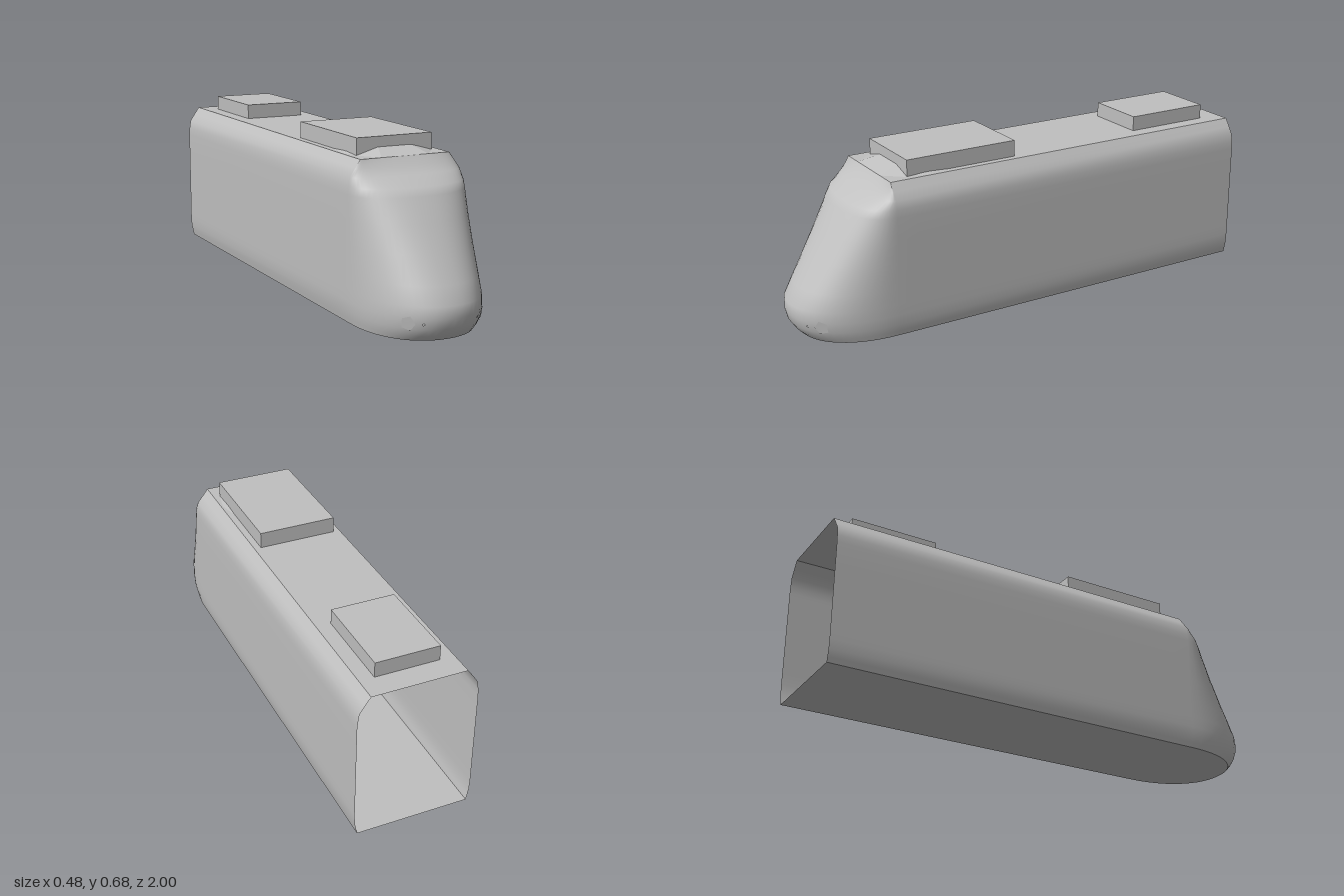
import * as THREE from 'three';
import { ConvexGeometry } from 'three/addons/geometries/ConvexGeometry.js';

const BACK = -1, SHOULDER = 0.635, ROOF = 0.617, POWER = 2.2;

// Each level: height, half width, z of the nose tip
const LEVELS = [
  [0, 0.228, 0.95], [0.02, 0.232, 0.97], [0.05, 0.238, 0.99], [0.09, 0.24, 1], [0.135, 0.24, 0.998],
  [0.2, 0.24, 0.961], [0.3, 0.24, 0.9], [0.4, 0.24, 0.839], [0.49, 0.24, 0.784], [0.52, 0.238, 0.762],
  [0.555, 0.233, 0.695], [0.585, 0.213, 0.66], [ROOF, 0.19, SHOULDER],
];

// Horizontal outline of one level, from the back right round the nose to the back left
function outline([, half, tip]) {
  const points = [[-half, BACK], [-half, 0.55]];
  const steps = 28;
  for (let i = 0; i <= steps; i++) {
    const a = Math.PI * (1 - i / steps);
    const c = Math.cos(a), s = Math.max(0, Math.sin(a));
    points.push([
      half * Math.sign(c) * Math.abs(c) ** (2 / POWER),
      SHOULDER + (tip - SHOULDER) * s ** (2 / POWER),
    ]);
  }
  points.push([half, 0.55], [half, BACK]);
  return points;
}

// Depth of the nose surface at a given x and y
function noseZ(x, y) {
  let i = 0;
  while (i < LEVELS.length - 2 && LEVELS[i + 1][0] < y) i++;
  const t = (y - LEVELS[i][0]) / (LEVELS[i + 1][0] - LEVELS[i][0]);
  const half = THREE.MathUtils.lerp(LEVELS[i][1], LEVELS[i + 1][1], t);
  const tip = THREE.MathUtils.lerp(LEVELS[i][2], LEVELS[i + 1][2], t);
  return SHOULDER + (tip - SHOULDER) * (1 - Math.abs(x / half) ** POWER) ** (1 / POWER);
}

// Smooth skin of the sides and nose, open at the back
function shellGeometry() {
  const positions = [], index = [];
  const rows = LEVELS.map(outline);
  const n = rows[0].length;
  rows.forEach((row, r) => row.forEach(([x, z]) => positions.push(x, LEVELS[r][0], z)));
  for (let r = 0; r < rows.length - 1; r++) {
    for (let c = 0; c < n - 1; c++) {
      const a = r * n + c, b = a + 1, d = a + n, e = d + 1;
      index.push(a, b, e, a, e, d);
    }
  }
  const geometry = new THREE.BufferGeometry();
  geometry.setAttribute('position', new THREE.Float32BufferAttribute(positions, 3));
  geometry.setIndex(index);
  geometry.computeVertexNormals();
  return geometry;
}

// Thin lamp plate that follows the nose surface
function lampGeometry(points, side) {
  const shape = new THREE.Shape(points.map(([x, y]) => new THREE.Vector2(x * side, y)));
  const geometry = new THREE.ShapeGeometry(shape);
  const p = geometry.attributes.position;
  for (let i = 0; i < p.count; i++) p.setZ(i, noseZ(p.getX(i), p.getY(i)) + 0.005);
  geometry.computeVertexNormals();
  return geometry;
}

export function createModel() {
  const model = new THREE.Group();
  const grey = new THREE.MeshStandardMaterial({ color: 0xc0c0c0, side: THREE.DoubleSide });
  grey.name = 'light grey';

  function add(name, geometry, x = 0, y = 0, z = 0) {
    const mesh = new THREE.Mesh(geometry, grey);
    mesh.name = name;
    mesh.position.set(x, y, z);
    model.add(mesh);
  }

  // Body
  add('bodyShell', shellGeometry());
  const floor = new THREE.Shape(outline(LEVELS[0]).map(([x, z]) => new THREE.Vector2(x, z)));
  add('floor', new THREE.ShapeGeometry(floor).rotateX(Math.PI / 2));
  add('roof', new THREE.PlaneGeometry(0.38, SHOULDER - BACK).rotateX(-Math.PI / 2),
    0, ROOF, (SHOULDER + BACK) / 2);

  // Roof equipment
  add('frontRoofBox', new THREE.BoxGeometry(0.324, 0.066, 0.48), 0, 0.65, 0.312);
  add('rearRoofBox', new THREE.BoxGeometry(0.26, 0.061, 0.364), 0, 0.6475, -0.72);

  // Low faceted fairing ahead of the front box
  const fairing = [];
  for (const s of [-1, 1]) {
    for (const [x, y, z] of [
      [0.1, ROOF, 0.632], [0.16, ROOF, 0.56], [0.182, ROOF, 0.46], [0.165, ROOF, 0.38],
      [0.07, 0.643, 0.55], [0.07, 0.643, 0.4],
    ]) fairing.push(new THREE.Vector3(s * x, y, z));
  }
  add('roofFairing', new ConvexGeometry(fairing));

  // Lamps
  const headlight = [[0.17, 0.09], [0.15, 0.1], [0.135, 0.072], [0.145, 0.045], [0.168, 0.055]]
    .map(([x, y]) => [x, y]);
  const marker = [[0.106, 0.072], [0.112, 0.079], [0.118, 0.072], [0.112, 0.065]];
  for (const [label, side] of [['left', 1], ['right', -1]]) {
    add(label + 'Headlight', lampGeometry(headlight, side));
    add(label + 'MarkerLamp', lampGeometry(marker, side));
  }
  return model;
}
